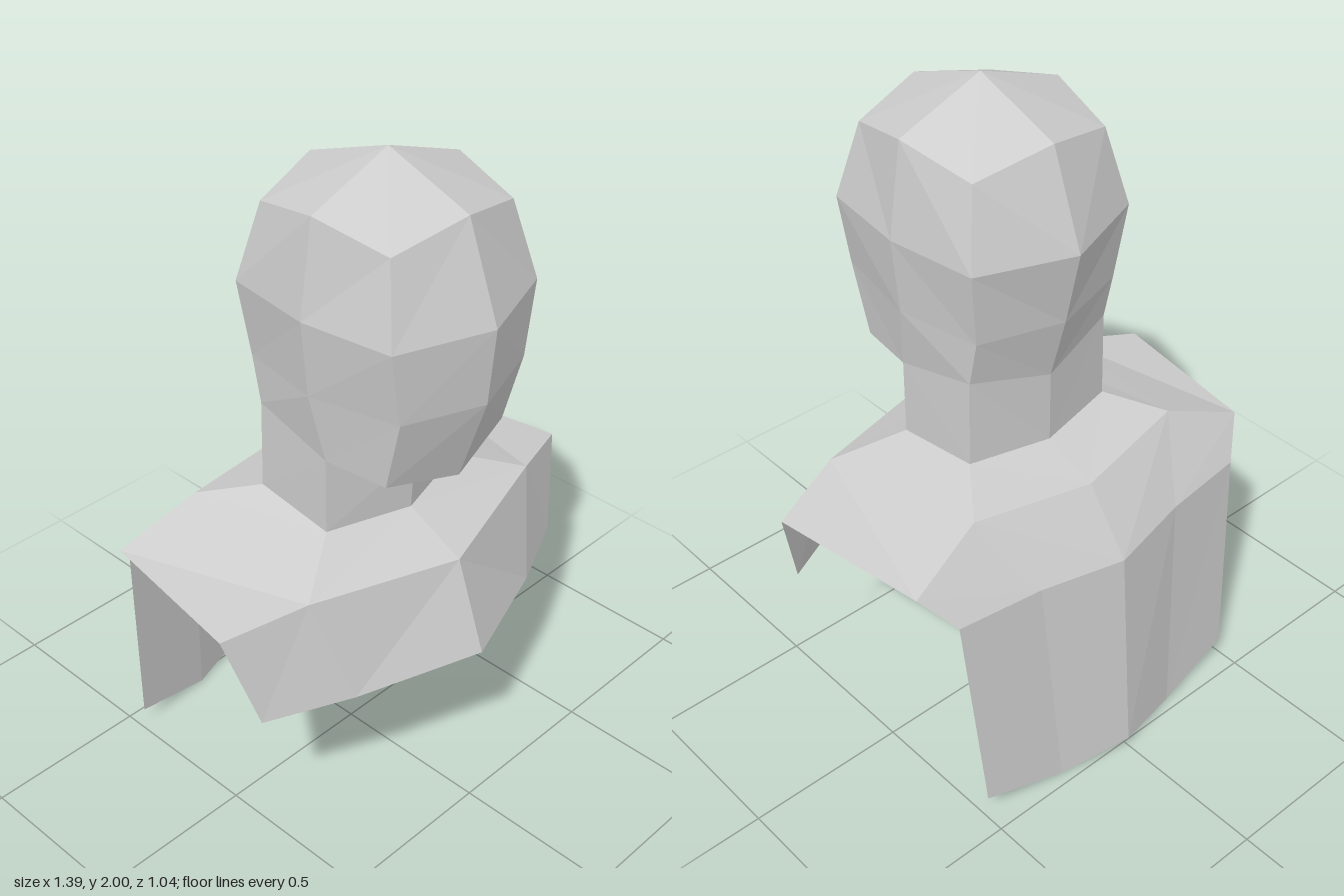
import * as THREE from 'three';

const clay = new THREE.MeshStandardMaterial({ color: 0xcccccc, side: THREE.DoubleSide });
clay.name = 'lightGrey';

// Flat-faced mesh from quads on the +x half, mirrored to -x
function mirroredMesh(name, quads) {
  const pos = [];
  const tri = (a, b, c) => {
    pos.push(...a, ...b, ...c);
    for (const p of [a, c, b]) pos.push(-p[0], p[1], p[2]);
  };
  for (const [a, b, c, d] of quads) {
    tri(a, b, c);
    tri(a, c, d);
  }
  const geo = new THREE.BufferGeometry();
  geo.setAttribute('position', new THREE.Float32BufferAttribute(pos, 3));
  geo.computeVertexNormals();
  const mesh = new THREE.Mesh(geo, clay);
  mesh.name = name;
  return mesh;
}

// Quads between cross-sections; rows run downwards, points run front to back
function loft(rows) {
  const quads = [];
  for (let r = 0; r < rows.length - 1; r++) {
    for (let i = 0; i < rows[r].length - 1; i++) {
      quads.push([rows[r][i], rows[r + 1][i], rows[r + 1][i + 1], rows[r][i + 1]]);
    }
  }
  return quads;
}

export function createModel() {
  const group = new THREE.Group();
  group.name = 'bust';

  // Head rings: front, front corner, side, back corner, back
  const crown = [0, 2, 0.13];
  const brow = [[0, 1.9, 0.405], [0.23, 1.85, 0.355], [0.275, 1.9, 0.13], [0.23, 1.85, -0.1], [0, 1.9, -0.15]];
  const temple = [[0, 1.62, 0.51], [0.28, 1.62, 0.41], [0.317, 1.62, 0.13], [0.28, 1.62, -0.15], [0, 1.62, -0.255]];
  const cheek = [[0, 1.39, 0.49], [0.245, 1.4, 0.41], [0.295, 1.39, 0.13], [0.25, 1.39, -0.13], [0, 1.39, -0.205]];
  const jaw = [[0, 1.13, 0.405], [0.235, 1.18, 0.355], [0.267, 1.19, 0.165], [0.25, 1.25, -0.1], [0, 1.19, -0.15]];
  const throat = [0, 1.117, 0.245];
  group.add(mirroredMesh('head', [
    [crown, brow[0], brow[1], brow[2]],
    [crown, brow[2], brow[3], brow[4]],
    ...loft([brow, temple, cheek, jaw]),
    [jaw[1], jaw[0], throat, jaw[2]],
  ]));

  // Neck
  const neckTop = [throat, ...jaw.slice(2)];
  const neckBase = [[0, 0.94, 0.235], [0.267, 0.955, 0.165], [0.255, 0.98, -0.1], [0, 0.967, -0.15]];
  group.add(mirroredMesh('neck', loft([neckTop, neckBase])));

  // Shoulder cape around the neck
  const capeFront = [[0, 0.85, 0.42], [0.455, 0.875, 0.285], [0.695, 0.835, 0.195]];
  const capeBack = [[0.62, 0.835, -0.305], [0.375, 0.935, -0.255], [0, 0.905, -0.32]];
  const inner = [capeFront[0], capeFront[1], capeBack[1], capeBack[2]];
  group.add(mirroredMesh('shoulders', [
    ...loft([neckBase, inner]),
    [capeFront[1], capeFront[2], capeBack[0], capeBack[1]],
  ]));

  // Chest flap
  const chestHem = [[0, 0.57, 0.518], [0.37, 0.553, 0.38], [0.617, 0.545, 0.262]];
  group.add(mirroredMesh('chestFlap', loft([capeFront, chestHem])));

  // Long back flap
  const backFold = [[0.535, 0.73, -0.377], [0.265, 0.725, -0.407], [0, 0.713, -0.463]];
  const backHem = [[0.49, 0.065, -0.433], [0.225, 0, -0.463], [0, 0.03, -0.518]];
  group.add(mirroredMesh('backFlap', loft([capeBack, backFold, backHem])));

  return group;
}
